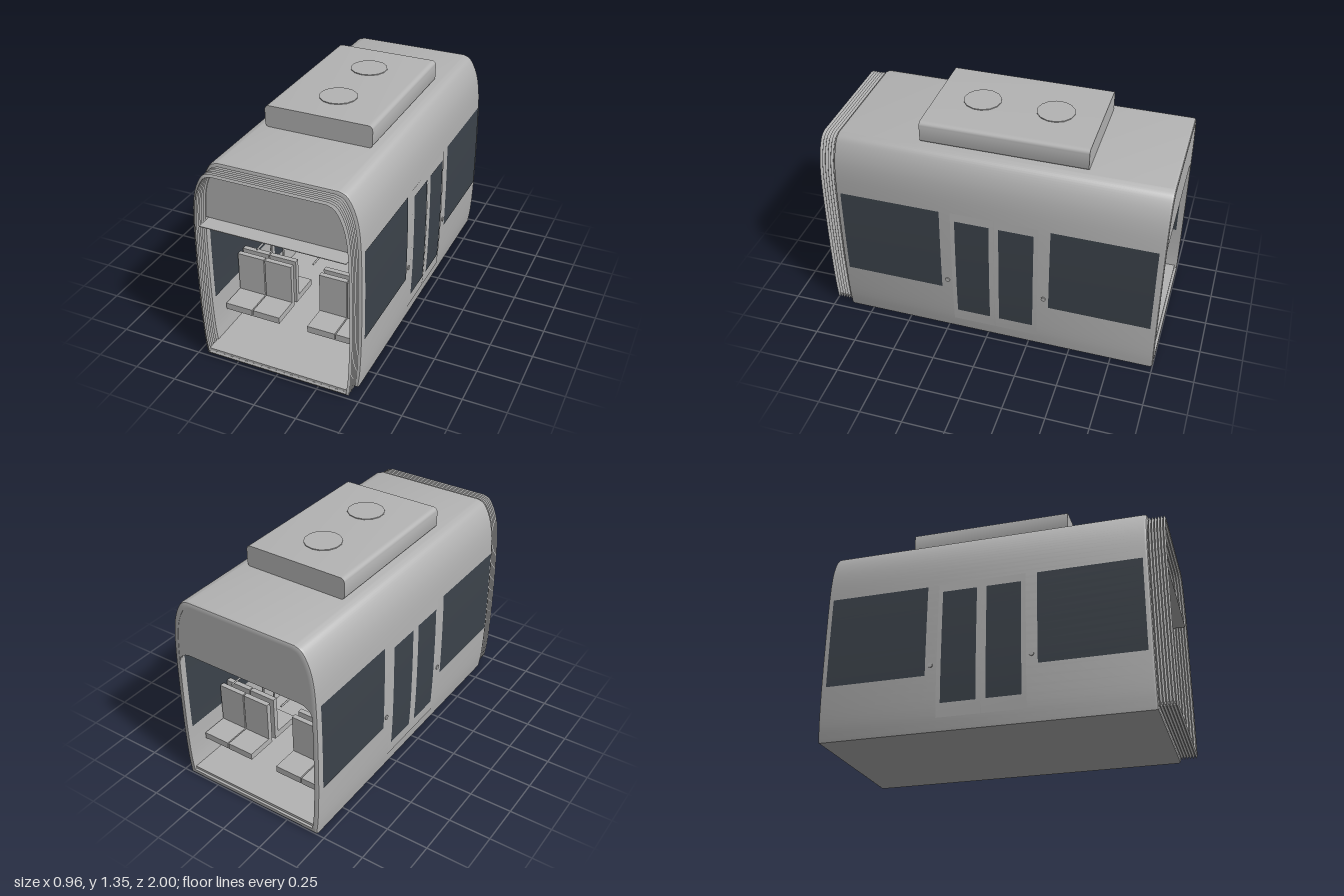
import * as THREE from 'three';
import { toCreasedNormals } from 'three/addons/utils/BufferGeometryUtils.js';

// Half of the body cross-section, bottom to roof, as [x, y]
const HALF = new THREE.CatmullRomCurve3([
  [0.452, 0], [0.464, 0.1], [0.473, 0.3], [0.475, 0.5], [0.474, 0.7], [0.469, 0.9],
  [0.459, 1.02], [0.442, 1.1], [0.415, 1.165], [0.385, 1.205], [0.345, 1.22],
].map(([x, y]) => new THREE.Vector3(x, y, 0))).getPoints(40);
const LOOP = [...HALF, ...HALF.slice().reverse().map(p => new THREE.Vector3(-p.x, p.y, 0))];
const MID = 0.61;

// Body half width at height y
function wallX(y) {
  for (let i = 1; i < HALF.length; i++) {
    const a = HALF[i - 1], b = HALF[i];
    if (y <= b.y) return a.x + (b.x - a.x) * (y - a.y) / (b.y - a.y);
  }
  return HALF[HALF.length - 1].x;
}

const inset = (p, d) => [p.x * (1 - d / 0.475), MID + (p.y - MID) * (1 - d / MID)];

// Skin through copies of the cross-section, each ring given as [z, inset]
function loft(rings) {
  const pos = [], idx = [], n = LOOP.length;
  for (const [z, d] of rings) for (const p of LOOP) pos.push(...inset(p, d), z);
  for (let r = 0; r < rings.length - 1; r++) {
    for (let i = 0; i < n; i++) {
      const j = (i + 1) % n, a = r * n + i, b = r * n + j;
      idx.push(a, b, b + n, a, b + n, a + n);
    }
  }
  const g = new THREE.BufferGeometry();
  g.setAttribute('position', new THREE.Float32BufferAttribute(pos, 3));
  g.setIndex(idx);
  return toCreasedNormals(g, 0.5);
}

// Thin sheet that follows the curve of a side wall
function wallSheet(side, y0, y1, z0, z1, off) {
  const g = new THREE.PlaneGeometry(z1 - z0, y1 - y0, 1, 12);
  const p = g.attributes.position;
  for (let i = 0; i < p.count; i++) {
    const y = p.getY(i) + (y0 + y1) / 2;
    p.setXYZ(i, side * (wallX(y) + off), y, (z0 + z1) / 2 - side * p.getX(i));
  }
  g.computeVertexNormals();
  return g;
}

// Wall closing the upper part of an end; the lower edge may have rounded shoulders
function headerGeometry(bottom, shoulder) {
  const s = new THREE.Shape();
  const low = bottom - shoulder, x = wallX(low) - 0.029;
  s.moveTo(x, low);
  for (const p of LOOP) {
    const [px, py] = inset(p, 0.029);
    if (py > low + 0.005) s.lineTo(px, py);
  }
  s.lineTo(-x, low);
  if (shoulder) {
    s.quadraticCurveTo(-x, bottom - 0.01, -x + 0.075, bottom);
    s.lineTo(x - 0.075, bottom);
    s.quadraticCurveTo(x, bottom - 0.01, x, low);
  }
  return new THREE.ExtrudeGeometry(s, { depth: 0.015, bevelEnabled: false });
}

export function createModel() {
  const model = new THREE.Group();
  const grey = new THREE.MeshStandardMaterial({ color: 0xb4b4b4, side: THREE.DoubleSide });
  grey.name = 'light grey';
  const glass = new THREE.MeshStandardMaterial({ color: 0x3c434b, side: THREE.DoubleSide });
  glass.name = 'dark glass';

  const add = (name, geo, mat, x = 0, y = 0, z = 0, parent = model) => {
    const m = new THREE.Mesh(geo, mat);
    m.name = name;
    m.position.set(x, y, z);
    parent.add(m);
    return m;
  };
  const box = (name, w, h, d, x, y, z, mat = grey, parent = model) =>
    add(name, new THREE.BoxGeometry(w, h, d), mat, x, y, z, parent);

  // Hollow body shell with softened ends
  add('bodyShell', loft([[-1, 0.03], [-1, 0.012], [-0.996, 0.004], [-0.985, 0],
    [0.885, 0], [0.896, 0.004], [0.9, 0.012], [0.9, 0.03], [-1, 0.03]]), grey);

  // Folded gangway bellows
  const folds = [];
  for (let i = 0; i <= 12; i++) folds.push([0.9 + i / 120, i % 2 ? 0.014 : 0.028]);
  add('bellows', loft(folds), grey);

  // End walls, floor and ceiling
  add('frontHeader', headerGeometry(0.87, 0), grey, 0, 0, 0.88);
  add('rearHeader', headerGeometry(0.87, 0.085), grey, 0, 0, -0.998);
  box('floor', 0.87, 0.015, 1.97, 0, 0.0375, 0);
  box('ceiling', 0.85, 0.004, 1.97, 0, 0.867, 0.005);

  // Side windows and double doors, seen from outside and inside
  for (const side of [1, -1]) {
    for (const [z0, z1] of [[0.275, 0.87], [-0.965, -0.37]]) {
      add('sideWindow', wallSheet(side, 0.325, 0.88, z0, z1, 0.003), glass);
      add('sideWindowInside', wallSheet(side, 0.325, 0.86, z0, z1, -0.034), glass);
    }
    for (const [z0, z1] of [[-0.043, 0.21], [-0.303, -0.048]]) {
      add('doorLeaf', wallSheet(side, 0.075, 0.885, z0, z1, 0.003), grey);
      const w0 = z0 + 0.026, w1 = z1 - 0.026;
      add('doorWindow', wallSheet(side, 0.155, 0.835, w0, w1, 0.006), glass);
      add('doorWindowInside', wallSheet(side, 0.155, 0.835, w0, w1, -0.034), glass);
    }
    for (const z of [0.24, -0.34]) {
      const b = add('doorButton', new THREE.CylinderGeometry(0.014, 0.014, 0.008, 12), grey,
        side * (wallX(0.385) + 0.002), 0.385, z);
      b.rotation.z = Math.PI / 2;
    }
  }

  // Roof unit with two fan covers
  const w = 0.32, h = 0.13, r = 0.03;
  const unit = new THREE.Shape();
  unit.moveTo(-w + r, 0);
  unit.lineTo(w - r, 0);
  unit.quadraticCurveTo(w, 0, w, r);
  unit.lineTo(w, h - r);
  unit.quadraticCurveTo(w, h, w - r, h);
  unit.lineTo(-w + r, h);
  unit.quadraticCurveTo(-w, h, -w, h - r);
  unit.lineTo(-w, r);
  unit.quadraticCurveTo(-w, 0, -w + r, 0);
  const unitGeo = new THREE.ExtrudeGeometry(unit, { depth: 0.955, bevelEnabled: false, curveSegments: 6 });
  add('roofUnit', toCreasedNormals(unitGeo, 0.6), grey, 0, 1.218, -0.53);
  for (const z of [-0.265, 0.16]) {
    add('fanCover', new THREE.CylinderGeometry(0.108, 0.108, 0.006, 14), grey, 0, 1.35, z);
  }

  // Back-to-back seat pairs on both sides of the aisle
  for (const bay of [0.575, -0.67]) {
    for (const x of [-0.3475, -0.1725, 0.1725, 0.3475]) {
      for (const dir of [1, -1]) {
        const seat = new THREE.Group();
        seat.name = 'seat';
        seat.position.set(x, 0, bay);
        model.add(seat);
        box('seatBack', 0.168, 0.285, 0.03, 0, 0.3225, dir * 0.03, grey, seat);
        box('seatCushion', 0.168, 0.04, 0.16, 0, 0.2, dir * 0.125, grey, seat);
      }
    }
  }

  // Grab poles and overhead rails
  const pole = (x, z) => add('grabPole',
    new THREE.CylinderGeometry(0.006, 0.006, 0.822, 8), grey, x, 0.455, z);
  pole(0, -0.045);
  for (const side of [1, -1]) {
    for (const z of [0.25, -0.345]) {
      pole(side * 0.338, z);
      pole(side * 0.42, z);
    }
    const rail = add('handRail', new THREE.CylinderGeometry(0.005, 0.005, 1.75, 8), grey, side * 0.168, 0.702, -0.03);
    rail.rotation.x = Math.PI / 2;
    for (const z of [-0.8, -0.3, 0.22, 0.74]) {
      add('railHanger', new THREE.CylinderGeometry(0.003, 0.003, 0.165, 6), grey, side * 0.168, 0.784, z);
    }
  }

  // Hanging information display
  box('displayCase', 0.245, 0.088, 0.03, 0, 0.797, 0);
  for (const z of [0.017, -0.017]) box('displayScreen', 0.225, 0.074, 0.006, 0, 0.797, z, glass);

  return model;
}
